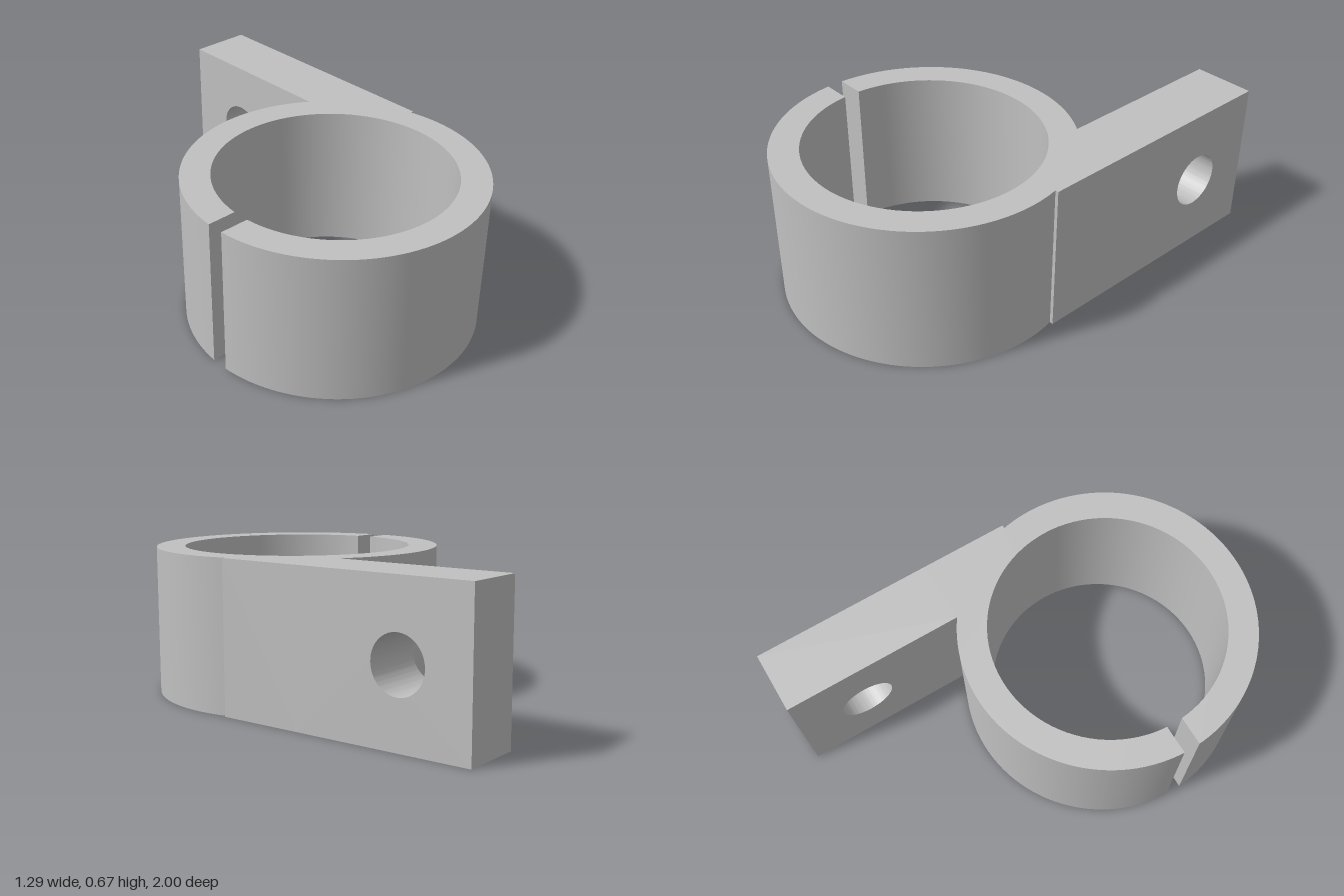
import * as THREE from 'three';
import { toCreasedNormals } from 'three/addons/utils/BufferGeometryUtils.js';

const HEIGHT = 0.674;
const OUTER = 0.648, INNER = 0.518;   // ring radii
const CENTRE_Z = 0.352;               // ring centre
const SLIT = 0.037;                   // half width of the slit
const ARM_IN = 0.365, ARM_OUT = OUTER; // arm faces in x
const ARM_FRONT = 0.21, ARM_BACK = -1; // arm ends in z

function extrude(shape, depth) {
  return new THREE.ExtrudeGeometry(shape, { depth, bevelEnabled: false, curveSegments: 48 });
}

export function createModel() {
  const model = new THREE.Group();
  model.name = 'splitClamp';
  const grey = new THREE.MeshStandardMaterial({ color: 0xc0c0c0 });
  grey.name = 'grey';

  const add = (name, geometry) => {
    const mesh = new THREE.Mesh(toCreasedNormals(geometry, 0.5), grey);
    mesh.name = name;
    model.add(mesh);
  };

  // Split ring with the root of the arm, drawn in plan (shape y = -z)
  const slitOut = Math.asin(SLIT / OUTER), slitIn = Math.asin(SLIT / INNER);
  const stepAngle = Math.asin((CENTRE_Z - ARM_FRONT) / OUTER);
  const rootAngle = Math.acos(ARM_IN / OUTER);
  const rootY = OUTER * Math.sin(rootAngle) - CENTRE_Z;
  const plan = new THREE.Shape();
  plan.absarc(0, -CENTRE_Z, OUTER, -Math.PI + slitOut, stepAngle, false);
  plan.lineTo(ARM_OUT, -ARM_FRONT);
  plan.lineTo(ARM_OUT, rootY);
  plan.lineTo(ARM_IN, rootY);
  plan.absarc(0, -CENTRE_Z, OUTER, rootAngle, Math.PI - slitOut, false);
  plan.absarc(0, -CENTRE_Z, INNER, Math.PI - slitIn, -Math.PI + slitIn, true);
  plan.closePath();
  add('splitRing', extrude(plan, HEIGHT).rotateX(-Math.PI / 2));

  // Straight arm with the bolt hole, drawn from the side (shape x = -z)
  const side = new THREE.Shape();
  side.moveTo(rootY, 0);
  side.lineTo(-ARM_BACK, 0);
  side.lineTo(-ARM_BACK, HEIGHT);
  side.lineTo(rootY, HEIGHT);
  side.closePath();
  const hole = new THREE.Path();
  hole.absarc(0.675, HEIGHT / 2, 0.123, 0, Math.PI * 2, true);
  side.holes.push(hole);
  add('mountingArm', extrude(side, ARM_OUT - ARM_IN).rotateY(Math.PI / 2).translate(ARM_IN, 0, 0));

  return model;
}
